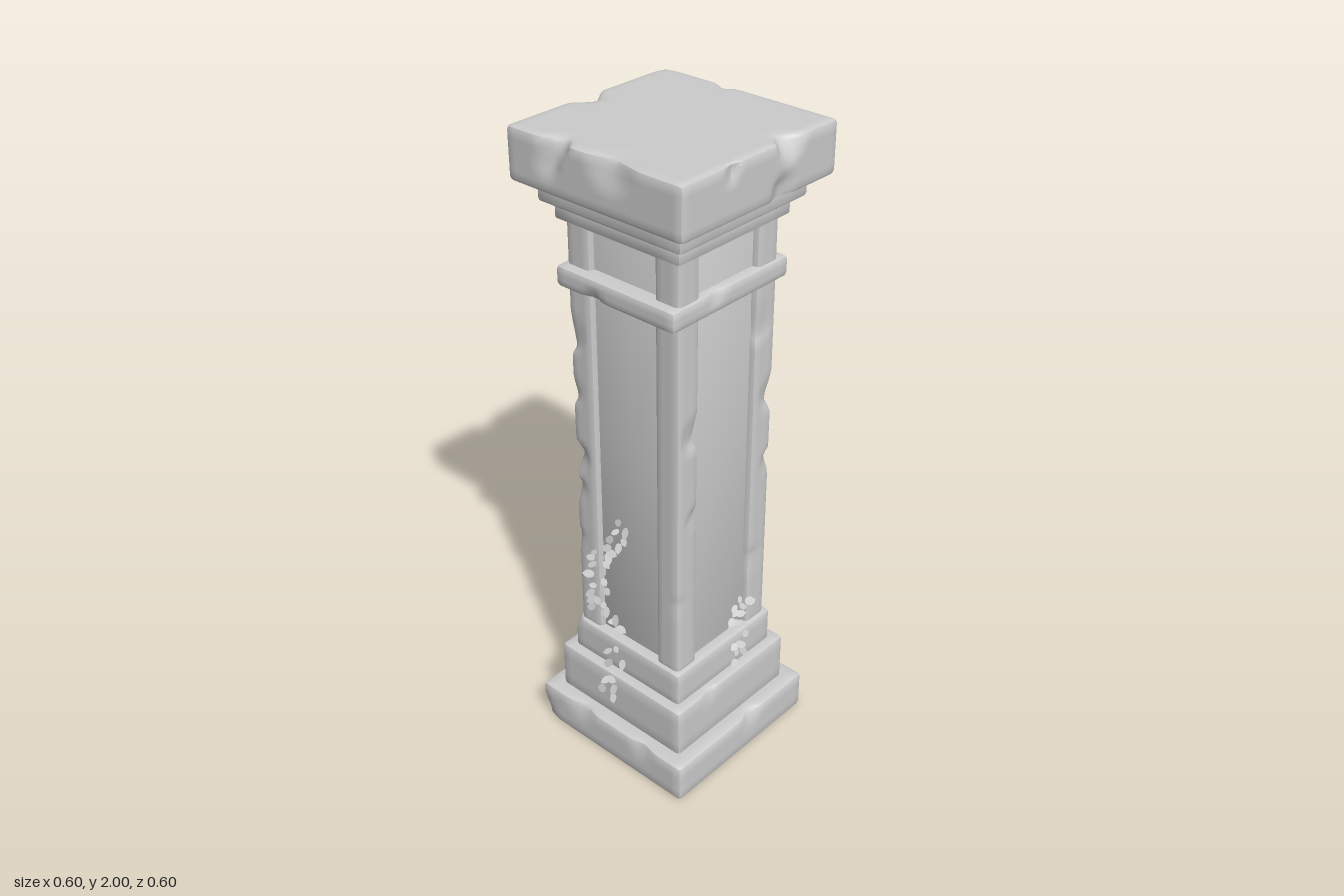
import * as THREE from 'three';
import { mergeGeometries, toCreasedNormals } from 'three/addons/utils/BufferGeometryUtils.js';

const stone = new THREE.MeshStandardMaterial({ color: 0xcccccc, side: THREE.DoubleSide });

function seeded(seed) {
  return () => {
    seed = (seed * 16807) % 2147483647;
    return seed / 2147483647;
  };
}

// Move evenly spaced grid lines so the outermost cell is exactly the bevel width
function warp(v, half, segs, bevel) {
  const i = Math.round((v / half + 1) * segs / 2);
  if (i === 0) return -half;
  if (i === segs) return half;
  return -half + bevel + (i - 1) * 2 * (half - bevel) / (segs - 2);
}

// Bevelled stone block. chips: [x, y, z, radius, depth] in model space.
// hollow: half width of the opening left in the top and bottom faces.
function block(name, [x, z], [y0, y1], [w, d], segs, bevel, chips = [], hollow = 0) {
  const size = [w / 2, (y1 - y0) / 2, d / 2];
  const centre = new THREE.Vector3(x, (y0 + y1) / 2, z);
  const geo = new THREE.BoxGeometry(w, y1 - y0, d, ...segs);
  const pos = geo.attributes.position;
  const p = new THREE.Vector3(), core = new THREE.Vector3(), at = new THREE.Vector3(), push = new THREE.Vector3();
  for (let i = 0; i < pos.count; i++) {
    p.fromBufferAttribute(pos, i);
    p.set(...p.toArray().map((v, k) => warp(v, size[k], segs[k], bevel)));
    core.set(...p.toArray().map((v, k) => THREE.MathUtils.clamp(v, bevel - size[k], size[k] - bevel)));
    p.sub(core).setLength(bevel).add(core).add(centre);
    for (const [cx, cy, cz, r, depth] of chips) {
      const dist = p.distanceTo(at.set(cx, cy, cz));
      if (dist >= r) continue;
      push.set(centre.x - cx, (centre.y - cy) * 0.5, centre.z - cz).normalize();
      p.addScaledVector(push, depth * (1 - dist / r));
    }
    pos.setXYZ(i, p.x, p.y, p.z);
  }
  if (hollow) {
    const old = geo.index.array, kept = [];
    const inside = (i) => Math.max(Math.abs(pos.getX(i)), Math.abs(pos.getZ(i))) < hollow + 0.002;
    for (let t = 0; t < old.length; t += 3) {
      const tri = [old[t], old[t + 1], old[t + 2]];
      if (!tri.every(inside)) kept.push(...tri);
    }
    geo.setIndex(kept);
  }
  const mesh = new THREE.Mesh(toCreasedNormals(geo, 0.6), stone);
  mesh.name = name;
  return mesh;
}

// Leaves scattered along a path of [sideways, height] points on one face
function vine(name, angle, path, count, seed) {
  const rnd = seeded(seed);
  const curve = new THREE.CatmullRomCurve3(path.map(([u, y]) => new THREE.Vector3(u, y, 0)));
  const shape = new THREE.Shape();
  shape.moveTo(0, -0.02);
  shape.quadraticCurveTo(0.019, -0.006, 0.008, 0.013);
  shape.lineTo(0, 0.017);
  shape.lineTo(-0.008, 0.013);
  shape.quadraticCurveTo(-0.019, -0.006, 0, -0.02);
  const leaf = new THREE.ShapeGeometry(shape, 3);
  const dummy = new THREE.Object3D();
  dummy.rotation.order = 'YXZ';
  const leaves = [];
  for (let i = 0; i < count; i++) {
    const p = curve.getPoint((i + rnd() * 0.6) / count);
    const side = i % 2 ? 1 : -1;
    const u = p.x + side * (0.008 + rnd() * 0.022);
    const out = p.y < 0.29 ? 0.247 : p.y < 0.4 ? 0.217 : Math.abs(u) > 0.115 ? 0.2 : 0.182;
    dummy.position.set(u, p.y, out + 0.012);
    dummy.rotation.set(-0.5 - rnd() * 0.5, (rnd() - 0.5) * 0.9, side * (0.5 + rnd()));
    dummy.scale.setScalar(0.7 + rnd() * 0.5);
    dummy.updateMatrix();
    leaves.push(leaf.clone().applyMatrix4(dummy.matrix));
  }
  const mesh = new THREE.Mesh(mergeGeometries(leaves), stone);
  mesh.name = name;
  mesh.rotation.y = angle;
  return mesh;
}

export function createModel() {
  const model = new THREE.Group();
  model.name = 'stonePillar';

  // Stepped, hollow base
  model.add(
    block('plinth', [0, 0], [0, 0.13], [0.59, 0.59], [26, 6, 26], 0.014, [
      [-0.12, 0.13, 0.295, 0.06, 0.02], [0.14, 0.12, 0.295, 0.05, 0.015],
      [0.295, 0.13, -0.05, 0.05, 0.02], [-0.295, 0.13, 0.08, 0.06, 0.02],
      [0.1, 0.13, -0.295, 0.05, 0.02], [-0.295, 0.02, 0.295, 0.06, 0.02],
    ], 0.235),
    block('middleStep', [0, 0], [0.12, 0.29], [0.494, 0.494], [22, 6, 22], 0.012, [
      [0.247, 0.29, 0.1, 0.04, 0.012], [-0.247, 0.29, -0.247, 0.04, 0.015],
    ], 0.2),
    block('upperStep', [0, 0], [0.28, 0.4], [0.43, 0.43], [20, 6, 20], 0.012, [
      [-0.215, 0.4, 0.215, 0.04, 0.015], [0.05, 0.4, -0.215, 0.04, 0.012],
    ], 0.17),
  );

  // Square stepped cavity seen from underneath
  const cavityProfile = [[0.24, 0.003], [0.235, 0.12], [0.2, 0.12], [0.2, 0.28], [0.17, 0.28], [0.17, 0.37], [0, 0.37]]
    .map(([r, y]) => new THREE.Vector2(r * Math.SQRT2, y));
  const cavityGeo = new THREE.LatheGeometry(cavityProfile, 4).rotateY(Math.PI / 4);
  const cavity = new THREE.Mesh(toCreasedNormals(cavityGeo, 0.3), stone);
  cavity.name = 'baseCavity';
  model.add(cavity);

  // Recessed shaft with a chipped post on each corner
  model.add(block('shaft', [0, 0], [0.38, 1.76], [0.36, 0.36], [4, 4, 4], 0.005));
  const rnd = seeded(77);
  for (const sx of [-1, 1]) {
    for (const sz of [-1, 1]) {
      const chips = [];
      for (let y = 0.62 + rnd() * 0.12; y < 1.5; y += 0.2 + rnd() * 0.14) {
        const r = 0.04 + rnd() * 0.035;
        chips.push([sx * 0.198, y, sz * (rnd() > 0.4 ? 0.198 : 0.13), r, r * 0.5]);
      }
      if (sx < 0 && sz > 0) chips.push([-0.2, 1.4, 0.2, 0.065, 0.045], [-0.2, 0.88, 0.2, 0.05, 0.03]);
      model.add(block('cornerPost', [sx * 0.158, sz * 0.158], [0.38, 1.76], [0.084, 0.084], [6, 70, 6], 0.013, chips));
    }
  }

  // Collar, mouldings and cap slab
  model.add(
    block('collar', [-0.002, -0.002], [1.55, 1.612], [0.425, 0.465], [20, 5, 20], 0.013, [
      [-0.08, 1.55, 0.23, 0.04, 0.015], [0.21, 1.61, 0.06, 0.04, 0.015],
      [-0.21, 1.61, -0.1, 0.04, 0.015], [0.1, 1.61, -0.235, 0.04, 0.015],
    ]),
    block('lowerMoulding', [0, 0], [1.74, 1.8], [0.44, 0.44], [8, 4, 8], 0.008),
    block('upperMoulding', [0, 0], [1.79, 1.855], [0.5, 0.5], [8, 4, 8], 0.01),
    block('capSlab', [0, 0], [1.848, 2], [0.6, 0.6], [36, 9, 36], 0.014, [
      [-0.07, 2, -0.3, 0.04, 0.025], [0.3, 2, -0.11, 0.06, 0.045],
      [-0.3, 2, 0.02, 0.065, 0.045], [-0.13, 2, 0.3, 0.06, 0.045],
      [0.07, 2, 0.3, 0.09, 0.025], [0.3, 1.98, 0.115, 0.03, 0.018],
      [-0.15, 1.94, 0.3, 0.05, 0.02], [0.3, 1.87, -0.08, 0.05, 0.02],
      [-0.3, 2, -0.3, 0.05, 0.015], [0.1, 1.85, -0.3, 0.05, 0.02],
    ]),
  );

  // Creeping leaves on every side
  model.add(
    vine('frontVine', 0, [[-0.02, 0.83], [-0.06, 0.73], [-0.12, 0.66], [-0.12, 0.56], [-0.13, 0.48], [-0.05, 0.43], [-0.03, 0.3], [-0.04, 0.19]], 38, 11),
    vine('leftSideVine', Math.PI / 2, [[0.1, 0.5], [0.08, 0.45], [0.05, 0.38], [0.05, 0.3]], 15, 23),
    vine('backVine', Math.PI, [[0.16, 0.74], [0.14, 0.6], [0.09, 0.48], [0.13, 0.36], [0.19, 0.26], [0.19, 0.15]], 34, 35),
    vine('rightSideVine', -Math.PI / 2, [[0.14, 0.74], [0.13, 0.6], [0.05, 0.5], [0.02, 0.42], [-0.12, 0.3]], 28, 47),
  );
  return model;
}
